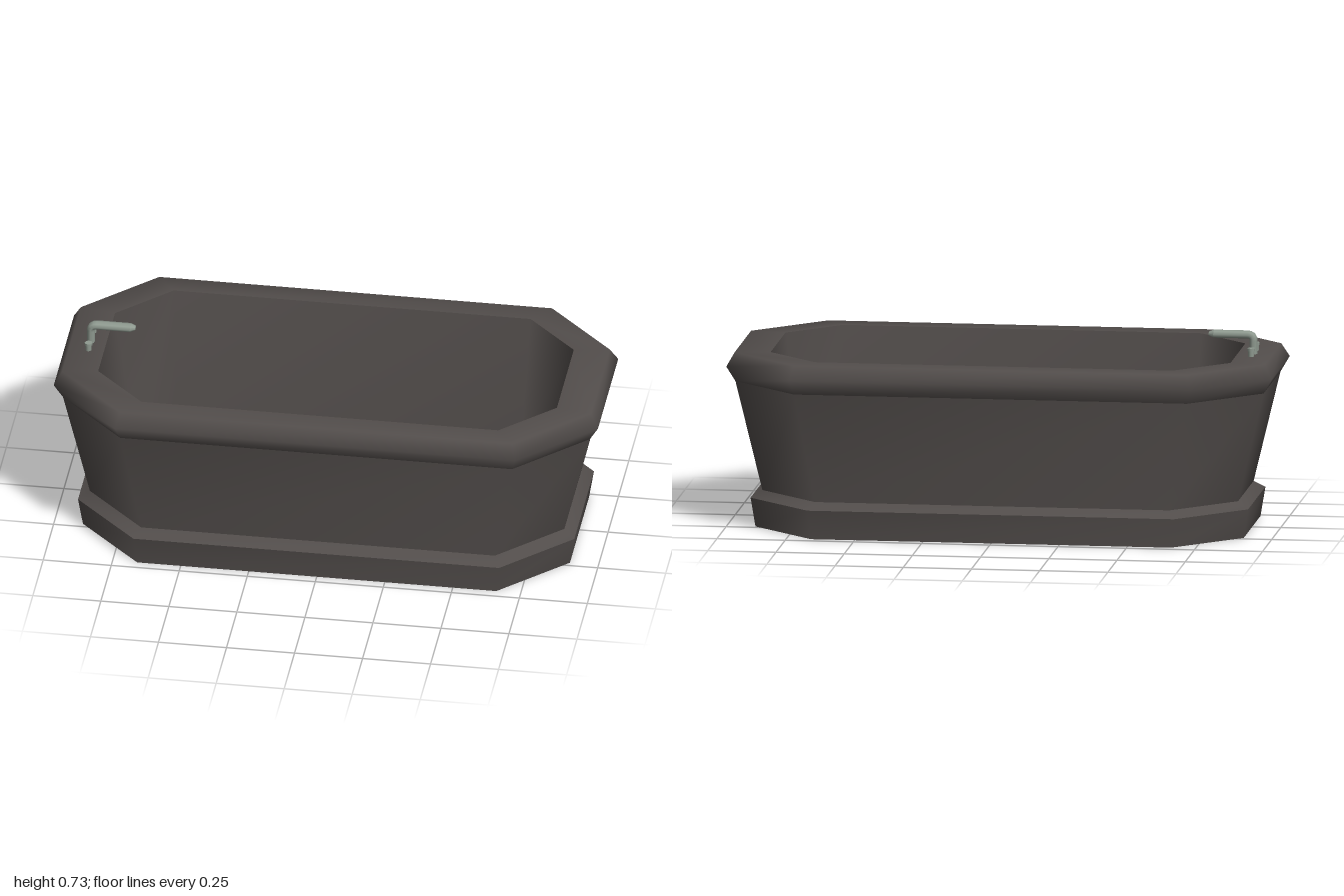
import * as THREE from 'three';

// Chamfered-rectangle ring: [y, halfX, halfZ, corner cut]
function ringPoints([y, x, z, c]) {
  const a = x - c, b = z - c;
  return [[x, b], [x, -b], [a, -z], [-a, -z], [-x, -b], [-x, b], [-a, z], [a, z]]
    .map(([px, pz]) => [px, y, pz]);
}

// Smooth band joining consecutive rings
function band(rings) {
  const pos = rings.flatMap(r => ringPoints(r).flat());
  const index = [];
  for (let r = 0; r < rings.length - 1; r++) {
    for (let i = 0; i < 8; i++) {
      const j = (i + 1) % 8;
      const a = r * 8 + i, b = r * 8 + j, c = a + 8, d = b + 8;
      index.push(a, b, d, a, d, c);
    }
  }
  const g = new THREE.BufferGeometry();
  g.setAttribute('position', new THREE.Float32BufferAttribute(pos, 3));
  g.setIndex(index);
  g.computeVertexNormals();
  return g;
}

// Flat octagonal cap, facing up or down
function cap(ring, up) {
  const index = [];
  for (let i = 1; i < 7; i++) index.push(0, ...(up ? [i, i + 1] : [i + 1, i]));
  const g = new THREE.BufferGeometry();
  g.setAttribute('position', new THREE.Float32BufferAttribute(ringPoints(ring).flat(), 3));
  g.setIndex(index);
  g.computeVertexNormals();
  return g;
}

export function createModel() {
  const group = new THREE.Group();
  const stone = new THREE.MeshStandardMaterial({ color: 0x524d4b });
  stone.name = 'dark stone';
  const metal = new THREE.MeshStandardMaterial({ color: 0x8f9a90 });
  metal.name = 'brushed metal';

  const add = (name, geometry, material, x = 0, y = 0, z = 0, parent = group) => {
    const m = new THREE.Mesh(geometry, material);
    m.name = name;
    m.position.set(x, y, z);
    parent.add(m);
    return m;
  };

  // Profile rings of the tub, from the ground up and back down inside
  const foot = [0, 0.895, 0.465, 0.235];
  const footTop = [0.107, 0.912, 0.477, 0.24];
  const bodyLow = [0.132, 0.872, 0.435, 0.222];
  const bodyTop = [0.535, 0.968, 0.48, 0.248];
  const rimWide = [0.59, 1.0, 0.51, 0.265];
  const rimTop = [0.64, 0.972, 0.475, 0.25];
  const rimInner = [0.64, 0.843, 0.39, 0.187];
  const floor = [0.15, 0.768, 0.315, 0.135];

  add('plinth', band([foot, footTop]), stone);
  add('plinthLedge', band([footTop, bodyLow]), stone);
  add('underside', cap(foot, false), stone);
  add('outerWall', band([bodyLow, bodyTop]), stone);
  add('rim', band([bodyTop, rimWide, rimTop, rimInner]), stone);
  add('innerWall', band([rimInner, floor]), stone);
  add('basinFloor', cap(floor, true), stone);

  // Drain
  add('drain', new THREE.CylinderGeometry(0.025, 0.027, 0.008, 6), metal, -0.58, 0.153, 0);

  // Tap: bent spout with a tapered tip, and two handles
  const tap = new THREE.Group();
  tap.name = 'tap';
  group.add(tap);
  const path = new THREE.CurvePath();
  const p = (x, y) => new THREE.Vector3(x, y, 0);
  path.add(new THREE.LineCurve3(p(-0.9, 0.635), p(-0.9, 0.69)));
  path.add(new THREE.QuadraticBezierCurve3(p(-0.9, 0.69), p(-0.9, 0.71), p(-0.878, 0.71)));
  path.add(new THREE.LineCurve3(p(-0.878, 0.71), p(-0.755, 0.71)));
  const spout = add('spout', new THREE.TubeGeometry(path, 24, 0.015, 8), metal, 0, 0, 0, tap);
  spout.scale.z = 1.4;
  const tip = add('spoutTip', new THREE.CylinderGeometry(0.008, 0.015, 0.018, 8), metal, -0.746, 0.71, 0, tap);
  tip.rotation.z = -Math.PI / 2;
  tip.scale.z = 1.4;
  for (const s of [-1, 1]) {
    add('handleStem', new THREE.CylinderGeometry(0.011, 0.011, 0.024, 8), metal, -0.9, 0.65, s * 0.063, tap);
    add('handleKnob', new THREE.CylinderGeometry(0.014, 0.014, 0.01, 8), metal, -0.9, 0.666, s * 0.063, tap);
  }
  return group;
}
